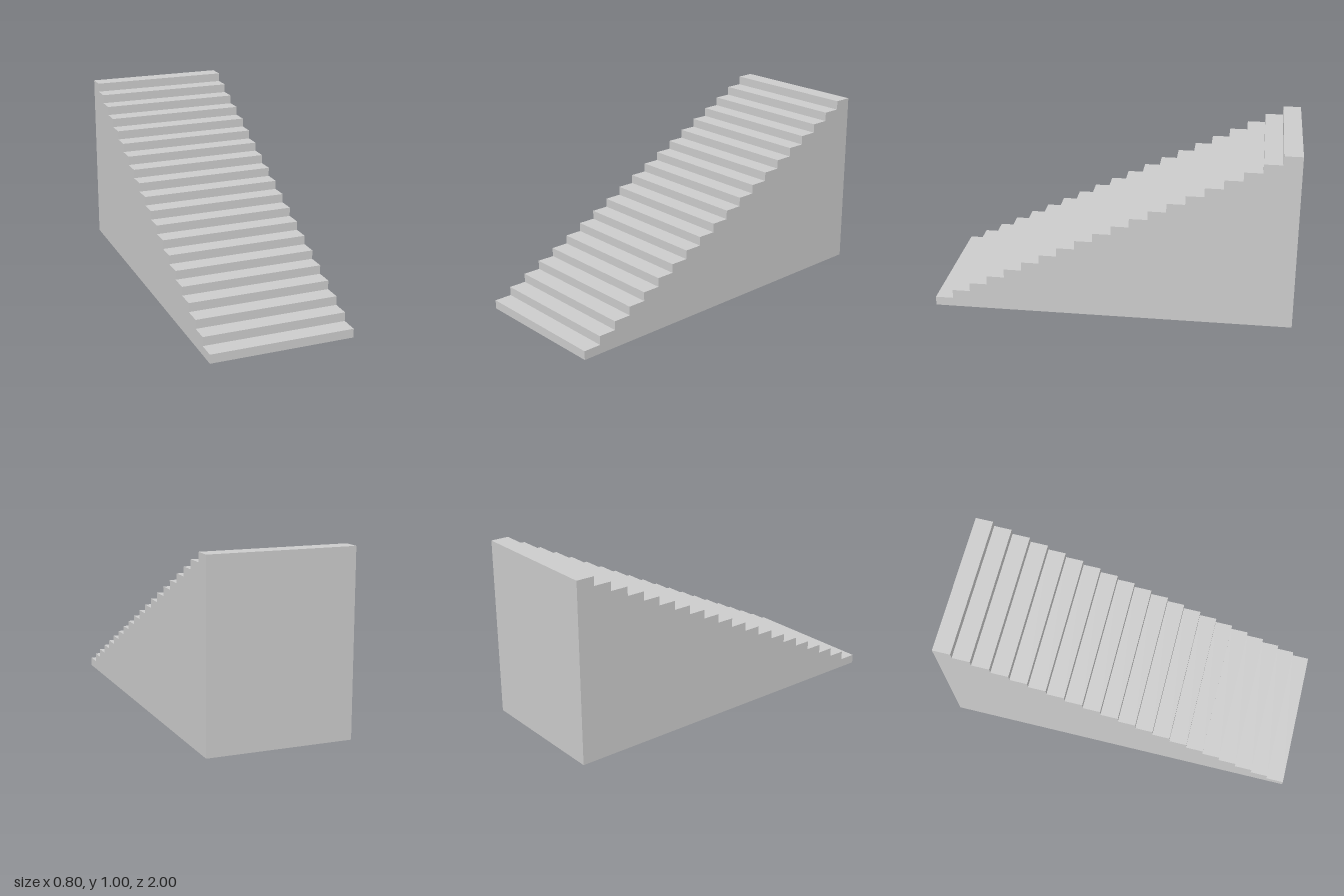
import * as THREE from 'three';

const STEPS = 20;
const RISE = 0.05;
const TREAD = 0.1;
const WIDTH = 0.8;

// Side profile of the staircase: run along x, height along y
function stairProfile() {
  const half = (STEPS * TREAD) / 2;
  const shape = new THREE.Shape();
  shape.moveTo(-half, 0);
  for (let i = 0; i < STEPS; i++) {
    shape.lineTo(-half + i * TREAD, (i + 1) * RISE); // riser
    shape.lineTo(-half + (i + 1) * TREAD, (i + 1) * RISE); // tread
  }
  shape.lineTo(half, 0);
  shape.closePath();
  return shape;
}

export function createModel() {
  const group = new THREE.Group();
  group.name = 'staircase';

  // Solid flight of steps, climbing from the front (+z) to the back (-z)
  const geometry = new THREE.ExtrudeGeometry(stairProfile(), { depth: WIDTH, bevelEnabled: false });
  geometry.translate(0, 0, -WIDTH / 2);
  geometry.rotateY(Math.PI / 2);

  const material = new THREE.MeshStandardMaterial({ color: 0xcccccc, flatShading: true });
  const steps = new THREE.Mesh(geometry, material);
  steps.name = 'steps';
  group.add(steps);
  return group;
}
